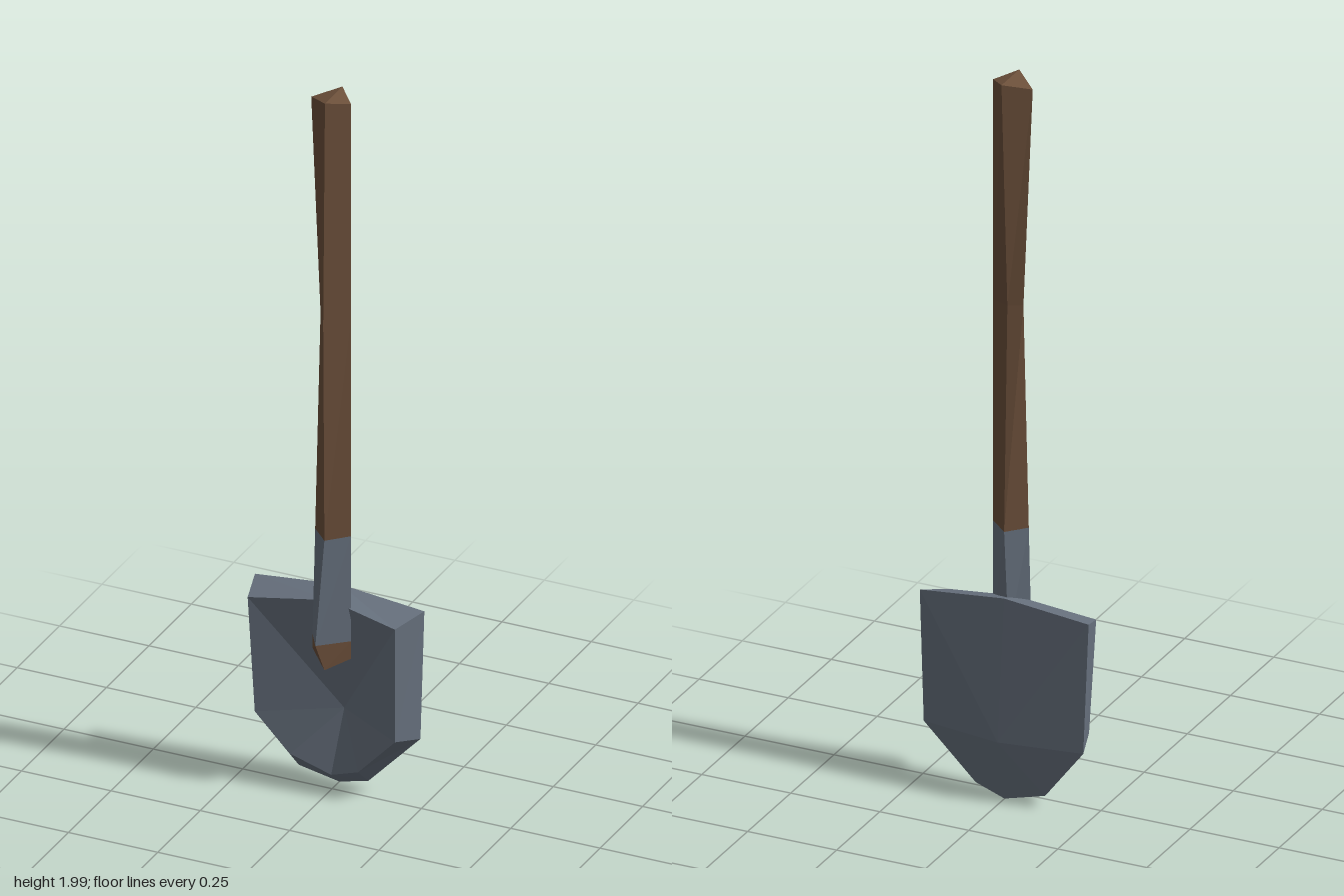
import * as THREE from 'three';

const metal = new THREE.MeshStandardMaterial({ color: 0x68727f, flatShading: true });
metal.name = 'blue grey metal';
const wood = new THREE.MeshStandardMaterial({ color: 0x6b4f3a, flatShading: true });
wood.name = 'brown wood';

// Faceted mesh from a list of triangles, each made of three [x, y, z] corners
function facetMesh(name, material, triangles) {
  const geometry = new THREE.BufferGeometry();
  geometry.setAttribute('position', new THREE.Float32BufferAttribute(triangles.flat(2), 3));
  geometry.computeVertexNormals();
  const mesh = new THREE.Mesh(geometry, material);
  mesh.name = name;
  return mesh;
}

// Walls between four-cornered rings (left, front, right, back), bottom to top
function loft(rings, capBottom, capTop) {
  const triangles = [];
  for (let r = 0; r < rings.length - 1; r++) {
    const a = rings[r], b = rings[r + 1];
    for (let i = 0; i < 4; i++) {
      const j = (i + 1) % 4;
      triangles.push([a[i], a[j], b[j]], [a[i], b[j], b[i]]);
    }
  }
  if (capBottom) {
    const [l, f, r, b] = rings[0];
    triangles.push([l, b, f], [f, b, r]);
  }
  if (capTop) {
    const [l, f, r, b] = rings[rings.length - 1];
    triangles.push([l, f, b], [f, r, b]);
  }
  return triangles;
}

export function createModel() {
  const model = new THREE.Group();
  model.name = 'shovel';

  // Shaft cross-sections
  const tipRing = [[-0.045, 0.41, 0.02], [0.01, 0.38, 0.066], [0.06, 0.4, 0.015], [0.005, 0.41, -0.015]];
  const socketLow = [[-0.045, 0.45, 0.02], [-0.01, 0.45, 0.077], [0.06, 0.45, 0.015], [0.0, 0.45, -0.02]];
  const socketTop = [[-0.04, 0.75, 0.015], [0.01, 0.75, 0.066], [0.06, 0.75, 0.015], [0.005, 0.75, -0.035]];
  const waist = [[-0.025, 1.37, 0.015], [0.01, 1.37, 0.073], [0.06, 1.37, 0.015], [0.01, 1.37, -0.006]];
  const topRing = [[-0.052, 1.98, 0.013], [0.012, 2.0, 0.067], [0.06, 1.985, 0.015], [0.012, 2.0, -0.036]];

  model.add(
    facetMesh('handle', wood, loft([socketTop, waist, topRing], false, true)),
    facetMesh('socket', metal, loft([socketLow, socketTop], false, false)),
    facetMesh('handleTip', wood, loft([tipRing, socketLow], true, false)),
  );

  // Blade: front rim and wider back rim, counter-clockwise from the top middle
  const front = [
    [0, 0.553, 0.013], [-0.22, 0.522, 0.034], [-0.2, 0.2, 0.034], [-0.11, 0.09, 0.015],
    [0, 0.05, 0.005], [0.08, 0.08, 0.015], [0.192, 0.2, 0.034], [0.192, 0.522, 0.034],
  ];
  const back = [
    [0, 0.57, -0.047], [-0.238, 0.546, -0.047], [-0.222, 0.18, -0.045], [-0.11, 0.035, -0.035],
    [0, 0.008, -0.043], [0.085, 0.033, -0.035], [0.226, 0.18, -0.045], [0.236, 0.546, -0.047],
  ];
  const dish = [0.02, 0.23, -0.03];
  const bulge = [0.003, 0.18, -0.079];
  const blade = [];
  front.forEach((f, i) => {
    const j = (i + 1) % front.length;
    blade.push([dish, f, front[j]], [bulge, back[j], back[i]]);
    blade.push([f, back[i], back[j]], [f, back[j], front[j]]);
  });
  model.add(facetMesh('blade', metal, blade));

  // Stand on the ground
  model.position.y = -0.008;
  return model;
}
